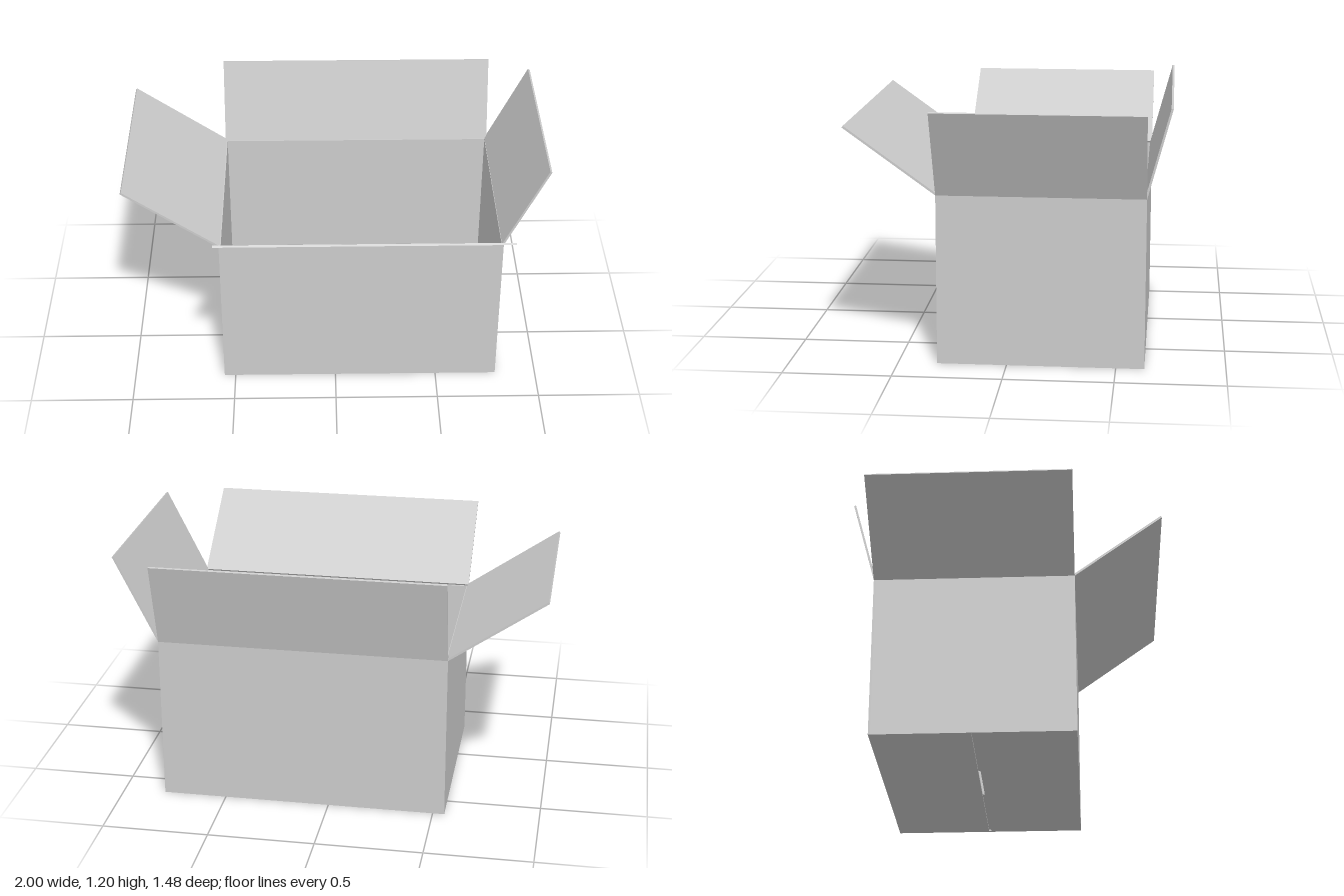
import * as THREE from 'three';

const T = 0.01; // board thickness
const X0 = -0.555, X1 = 0.8, Z0 = -0.63, Z1 = 0.32, H = 0.79;
const CX = (X0 + X1) / 2, CZ = (Z0 + Z1) / 2;

export function createModel() {
  const root = new THREE.Group();
  const material = new THREE.MeshStandardMaterial({ color: 0xcccccc, flatShading: true });

  // Board given by its lower and upper corners
  const board = (name, a, b) => {
    const geo = new THREE.BoxGeometry(b[0] - a[0], b[1] - a[1], b[2] - a[2]);
    const mesh = new THREE.Mesh(geo, material);
    mesh.name = name;
    mesh.position.set((a[0] + b[0]) / 2, (a[1] + b[1]) / 2, (a[2] + b[2]) / 2);
    root.add(mesh);
  };

  // Walls: front and back full width, sides between them
  board('frontWall', [X0, 0, Z1 - T], [X1, H, Z1]);
  board('backWall', [X0, 0, Z0], [X1, H, Z0 + T]);
  board('leftWall', [X1 - T, 0, Z0 + T], [X1, H, Z1 - T]);
  board('rightWall', [X0, 0, Z0 + T], [X0 + T, H, Z1 - T]);

  // Bottom: long outer flaps meet at a narrow slit, short inner flaps lie on top
  const gap = 0.006;
  board('frontBottomFlap', [X0 + T, 0, CZ + gap], [X1 - T, T, Z1 - T]);
  board('backBottomFlap', [X0 + T, 0, Z0 + T], [X1 - T, T, CZ - gap]);
  board('leftBottomFlap', [0.27, T, Z0 + T], [X1 - T, 2 * T, Z1 - T]);
  board('rightBottomFlap', [X0 + T, T, Z0 + T], [-0.05, 2 * T, Z1 - T]);

  // Open top flaps, each swung outwards and upwards about its wall's top edge
  const flap = (name, x, z, turn, out, up, width) => {
    const length = Math.hypot(out, up);
    const geo = new THREE.BoxGeometry(length, T, width).translate(length / 2, T / 2, 0);
    geo.rotateZ(Math.atan2(up, out)).rotateY(turn);
    const mesh = new THREE.Mesh(geo, material);
    mesh.name = name;
    mesh.position.set(x, H, z);
    root.add(mesh);
  };
  flap('leftTopFlap', X1, CZ, 0, 0.2, 0.408, Z1 - Z0);
  flap('rightTopFlap', X0, CZ, Math.PI, 0.445, 0.308, Z1 - Z0);
  flap('frontTopFlap', CX, Z1, -Math.PI / 2, 0.42, 0.303, X1 - X0);
  flap('backTopFlap', CX, Z0, Math.PI / 2, 0.11, 0.408, X1 - X0);

  return root;
}
